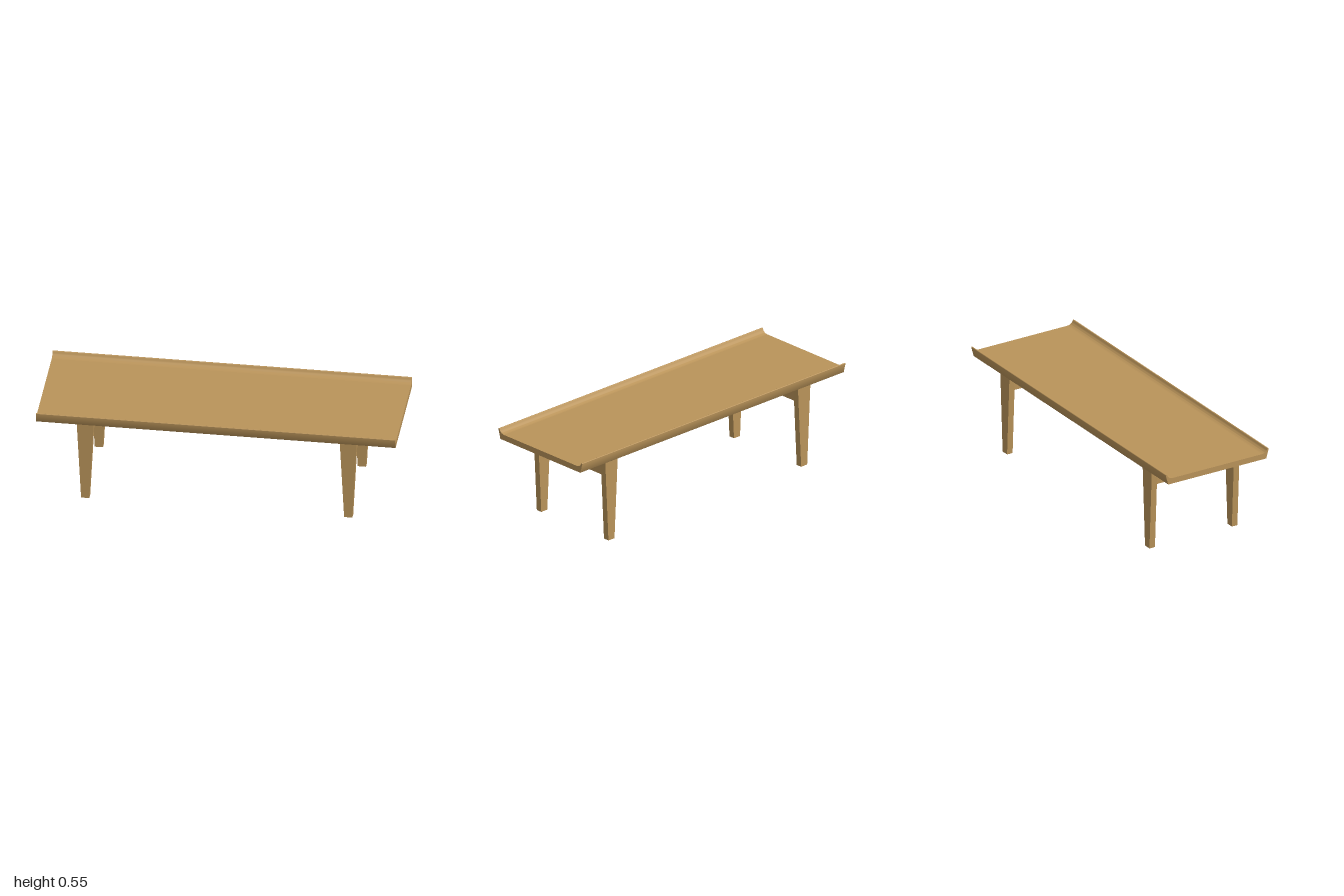
import * as THREE from 'three';
import { toCreasedNormals } from 'three/addons/utils/BufferGeometryUtils.js';

export function createModel() {
  const group = new THREE.Group();
  group.name = 'lowTable';
  const wood = new THREE.MeshStandardMaterial({ color: 0xba945a });
  wood.name = 'warm wood';

  const add = (name, geometry, x = 0, y = 0, z = 0) => {
    const mesh = new THREE.Mesh(geometry, wood);
    mesh.name = name;
    mesh.position.set(x, y, z);
    group.add(mesh);
    return mesh;
  };
  const box = (name, w, h, d, x, y, z) => add(name, new THREE.BoxGeometry(w, h, d), x, y, z);

  // Flat table top
  const TOP = 0.525, UNDER = 0.492, LEG_X = 0.732;
  box('tableTop', 2, TOP - UNDER, 0.584, 0, (TOP + UNDER) / 2, 0);

  // Upturned lip cross-section: first axis points outward, second up
  const lip = new THREE.Shape();
  lip.moveTo(0.292, UNDER);
  lip.lineTo(0.318, UNDER);
  lip.quadraticCurveTo(0.3205, UNDER, 0.321, 0.494);
  lip.lineTo(0.335, 0.546);
  lip.quadraticCurveTo(0.3365, 0.551, 0.333, 0.5525);
  lip.quadraticCurveTo(0.328, 0.553, 0.326, 0.548);
  lip.bezierCurveTo(0.319, 0.532, 0.309, 0.527, 0.292, TOP);
  lip.closePath();
  const lipGeometry = toCreasedNormals(
    new THREE.ExtrudeGeometry(lip, { depth: 2, bevelEnabled: false, curveSegments: 10 })
      .translate(0, 0, -1), 0.6);
  for (const s of [1, -1]) {
    add(s > 0 ? 'frontLip' : 'backLip', lipGeometry).rotation.y = -s * Math.PI / 2;
  }

  // Legs tapering along the length of the table
  const leg = new THREE.Shape([
    new THREE.Vector2(-0.023, 0), new THREE.Vector2(0.023, 0),
    new THREE.Vector2(0.048, UNDER), new THREE.Vector2(-0.048, UNDER),
  ]);
  const legGeometry = new THREE.ExtrudeGeometry(leg, { depth: 0.036, bevelEnabled: false })
    .translate(0, 0, -0.018);

  for (const s of [1, -1]) {
    const side = s > 0 ? 'left' : 'right';
    add(side + 'FrontLeg', legGeometry, s * LEG_X, 0, 0.269);
    add(side + 'BackLeg', legGeometry, s * LEG_X, 0, -0.269);
    // Rail between the two legs, with a small screw in its outer face
    box(side + 'Rail', 0.036, 0.06, 0.504, s * LEG_X, 0.407, 0);
    const screw = add(side + 'Screw', new THREE.CylinderGeometry(0.008, 0.008, 0.003, 20),
      s * (LEG_X + 0.0185), 0.395, 0);
    screw.rotation.z = -s * Math.PI / 2;
  }

  // Long stretcher joining the rails
  box('stretcher', 2 * LEG_X - 0.036, 0.06, 0.036, 0, 0.407, 0);

  return group;
}
